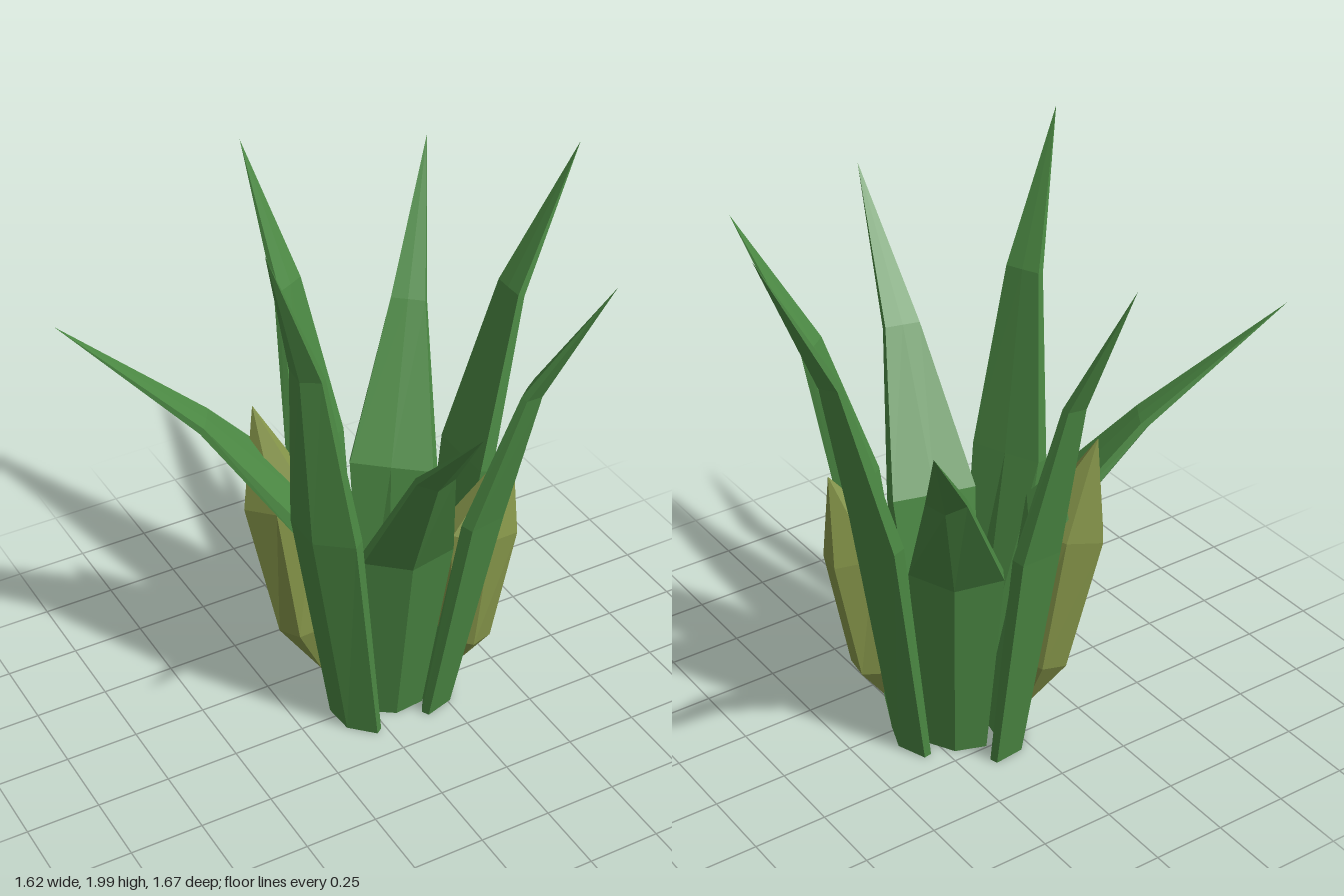
import * as THREE from 'three';

const leafMat = new THREE.MeshStandardMaterial({ color: 0x4b8843, flatShading: true, side: THREE.DoubleSide });
const podMat = new THREE.MeshStandardMaterial({ color: 0x86964a, flatShading: true, side: THREE.DoubleSide });

// Keeled blade section with a given inner height, and pod section: [sideways, outward]
const blade = inner => [[0, 1], [1, 0.25], [0.95, -0.3], [0, inner], [-0.95, -0.3], [-1, 0.25]];
const STEM = blade(-1), GROOVE = blade(-0.35);
const HEX = [[0.5, 0.87], [1, 0], [0.5, -0.87], [-0.5, -0.87], [-1, 0], [-0.5, 0.87]];

// Skins sections along stations [x, y, z, halfWidth, halfDepth], facing along heading
function loft(sections, stations, heading, flatBase) {
  const n = sections[0].length, pos = [], idx = [];
  const centres = stations.map(s => new THREE.Vector3(s[0], s[1], s[2]));
  const side = new THREE.Vector3(heading[1], 0, -heading[0]).normalize();
  stations.forEach(([, , , w, d], i) => {
    const along = new THREE.Vector3(0, 1, 0);
    if (i > 0 || !flatBase) {
      along.subVectors(centres[Math.min(i + 1, centres.length - 1)], centres[Math.max(i - 1, 0)]);
    }
    const out = new THREE.Vector3().crossVectors(side, along).normalize();
    for (const [u, v] of sections[i]) {
      const p = centres[i].clone().addScaledVector(side, u * w).addScaledVector(out, v * d);
      pos.push(p.x, p.y, p.z);
    }
  });
  for (let i = 0; i < stations.length - 1; i++) {
    for (let j = 0; j < n; j++) {
      const a = i * n + j, b = i * n + (j + 1) % n;
      if (stations[i][3] > 0) idx.push(a, b, b + n);
      if (stations[i + 1][3] > 0) idx.push(a, b + n, a + n);
    }
  }
  if (flatBase) for (let j = 1; j < n - 1; j++) idx.push(0, j + 1, j);
  const g = new THREE.BufferGeometry();
  g.setAttribute('position', new THREE.Float32BufferAttribute(pos, 3));
  g.setIndex(idx);
  const flat = g.toNonIndexed();
  flat.computeVertexNormals();
  return flat;
}

// Each leaf: heading, base, widest point, bend and tip
const LEAVES = [
  { h: [-0.85, -0.53], base: [0.0, -0.13], mid: [-0.12, 0.77, -0.17, 0.155], bend: [-0.41, 1.13, -0.325], tip: [-0.81, 1.5, -0.52] },
  { h: [-0.45, -0.89], base: [0.06, -0.28], mid: [0.02, 0.85, -0.38, 0.14], bend: [0.0, 1.41, -0.52], tip: [-0.05, 1.85, -0.73] },
  { h: [0.65, -0.76], base: [0.19, -0.17], mid: [0.25, 0.76, -0.265, 0.15], bend: [0.45, 1.22, -0.51], tip: [0.71, 1.62, -0.84] },
  { h: [1, 0], base: [0.31, -0.08], mid: [0.425, 0.87, -0.08, 0.13], bend: [0.575, 1.46, -0.08], tip: [0.81, 1.92, -0.08] },
  { h: [0.6, 0.8], base: [0.23, 0.08], mid: [0.315, 0.86, 0.195, 0.13], bend: [0.405, 1.35, 0.31], tip: [0.565, 1.77, 0.5] },
  { h: [-0.25, 0.97], base: [0.08, 0.04], mid: [0.055, 0.76, 0.165, 0.15], bend: [-0.01, 1.24, 0.435], tip: [-0.1, 1.65, 0.83] },
  { h: [-0.91, 0.41], base: [-0.07, 0.05], mid: [-0.19, 0.88, 0.08, 0.13], bend: [-0.265, 1.51, 0.11], tip: [-0.43, 2.0, 0.18] },
];

// Each pod: heading, then foot, lower ring, upper ring and tip
const PODS = [
  { h: [1, 0.15], path: [[0.3, 0.09, 0.05], [0.335, 0.26, 0.075], [0.37, 0.7, 0.1], [0.48, 1.0, 0.11]] },
  { h: [-0.8, -0.6], path: [[-0.07, 0.06, -0.19], [-0.12, 0.27, -0.22], [-0.17, 0.77, -0.27], [-0.23, 1.12, -0.34]] },
];
const POD_SIZE = [[0, 0], [0.088, 0.09], [0.09, 0.135], [0, 0]];

export function createModel() {
  const group = new THREE.Group();
  const add = (name, geometry, material) => {
    const mesh = new THREE.Mesh(geometry, material);
    mesh.name = name;
    group.add(mesh);
  };
  LEAVES.forEach(({ h, base, mid, bend, tip }, i) => add(`leaf${i + 1}`, loft([STEM, GROOVE, GROOVE, GROOVE], [
    [base[0], 0.01, base[1], 0.1, 0.05],
    [...mid, 0.075],
    [...bend, 0.062, 0.04],
    [...tip, 0, 0],
  ], h, true), leafMat));
  PODS.forEach(({ h, path }, i) => add(`pod${i + 1}`,
    loft(Array(4).fill(HEX), path.map((p, k) => [...p, ...POD_SIZE[k]]), h, false), podMat));
  return group;
}
